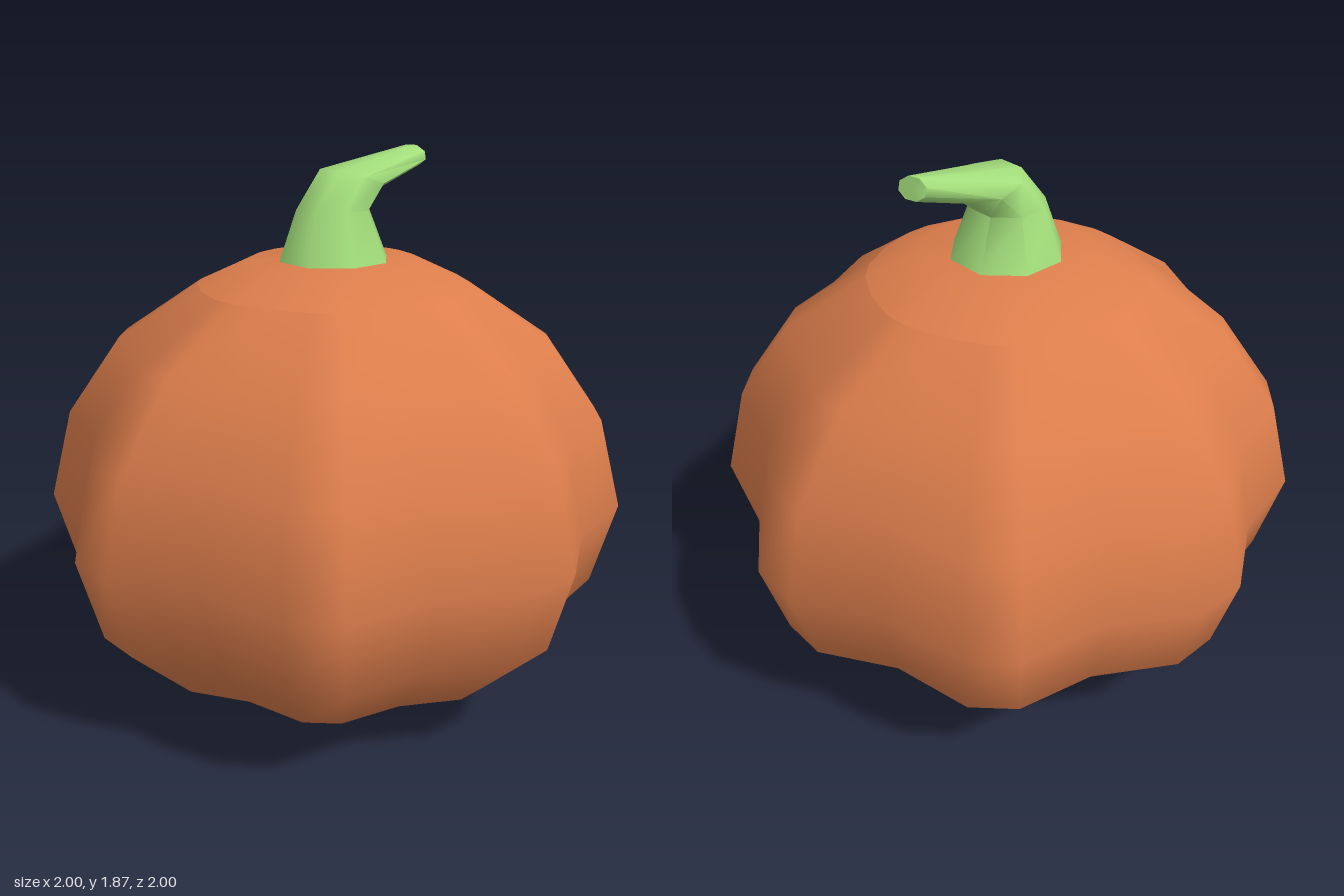
import * as THREE from 'three';
import { toCreasedNormals } from 'three/addons/utils/BufferGeometryUtils.js';

const orange = new THREE.MeshStandardMaterial({ color: 0xdd7e4c });
orange.name = 'pumpkin orange';
const green = new THREE.MeshStandardMaterial({ color: 0xa3de7b });
green.name = 'stem green';

// Skins a stack of equal-sized rings, with optional fan caps at either end
function loft(rings, capStart, capEnd) {
  const n = rings[0].length, pos = [], idx = [];
  rings.forEach(r => r.forEach(p => pos.push(p.x, p.y, p.z)));
  for (let i = 0; i < rings.length - 1; i++) {
    for (let j = 0; j < n; j++) {
      const a = i * n + j, b = i * n + (j + 1) % n;
      idx.push(a, b, b + n, a, b + n, a + n);
    }
  }
  const cap = (ring, start, flip) => {
    const c = ring.reduce((s, p) => s.add(p), new THREE.Vector3()).divideScalar(n);
    const k = pos.length / 3;
    pos.push(c.x, c.y, c.z);
    for (let j = 0; j < n; j++) {
      const a = start + j, b = start + (j + 1) % n;
      flip ? idx.push(k, b, a) : idx.push(k, a, b);
    }
  };
  if (capStart) cap(rings[0], 0, true);
  if (capEnd) cap(rings[rings.length - 1], (rings.length - 1) * n, false);
  const g = new THREE.BufferGeometry();
  g.setAttribute('position', new THREE.Float32BufferAttribute(pos, 3));
  g.setIndex(idx);
  g.computeVertexNormals();
  return g;
}

// Eight lobes: each has two ridge points and one groove point
function lobedRing([y, radius, groove]) {
  const ring = [];
  for (let k = 0; k < 8; k++) {
    for (const [deg, f] of [[-5.1, 1], [5.1, 1], [22.5, groove]]) {
      const a = THREE.MathUtils.degToRad(k * 45 + deg), r = radius * f * 1.004;
      ring.push(new THREE.Vector3(Math.sin(a) * r, y, Math.cos(a) * r));
    }
  }
  return ring;
}

// Octagonal stem section; its front axis points along (0, fy, fz)
function stemRing([y, z, halfWidth, fy, fz, skew = 0]) {
  const ring = [];
  for (let k = 0; k < 8; k++) {
    const a = (k + 0.5) * Math.PI / 4, s = Math.sin(a) * 1.08, c = Math.cos(a) * 1.08;
    ring.push(new THREE.Vector3(s * halfWidth, y + c * fy, z + c * fz - s * skew));
  }
  return ring;
}

export function createModel() {
  const group = new THREE.Group();
  group.name = 'pumpkin';
  const add = (name, geometry, material) => {
    const m = new THREE.Mesh(geometry, material);
    m.name = name;
    group.add(m);
  };

  // Ribbed body: height, ridge radius, groove factor
  const shoulder = [1.43, 0.462, 0.99];
  const body = [
    [0, 0.22, 0.97], [0.015, 0.35, 0.94], [0.155, 0.695, 0.91], [0.38, 0.92, 0.9],
    [0.67, 1, 0.9], [0.98, 0.92, 0.905], [1.245, 0.735, 0.93], shoulder,
  ];
  add('body', loft(body.map(lobedRing), true, false), orange);

  // Shallow crown around the stem
  add('crown', loft([shoulder, [1.512, 0.285, 1]].map(lobedRing), false, true), orange);

  // Bent stem: height, z, half width, front axis y and z, skew
  const stem = [
    [1.505, 0, 0.18, 0, 0.18], [1.68, 0.005, 0.12, 0, 0.118],
    [1.775, -0.08, 0.112, 0.032, 0.1], [1.833, -0.372, 0.048, 0.034, 0.008, 0.012],
  ];
  add('stem', toCreasedNormals(loft(stem.map(stemRing), false, true), 1.1), green);

  return group;
}
